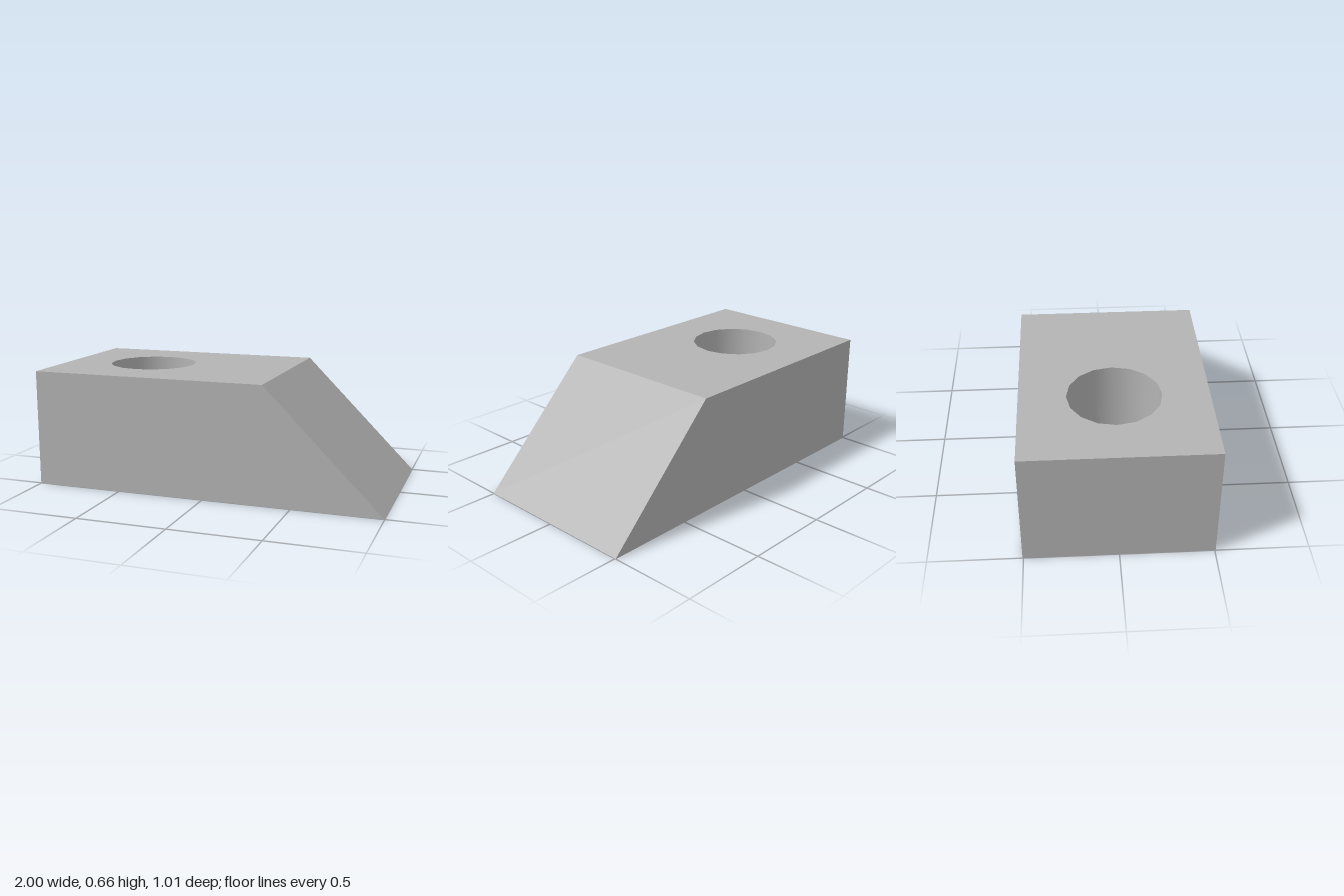
import * as THREE from 'three';
import { mergeGeometries } from 'three/addons/utils/BufferGeometryUtils.js';

const HEIGHT = 0.66, DEPTH = 1.01, TOP_END = 0.34;
const HOLE_X = -0.495, HOLE_R = 0.253, SINK_R = 0.444, SINK_H = 0.26, SIDES = 16;

// Flat outline, with an optional polygonal hole
function panel(points, holeRadius) {
  const shape = new THREE.Shape(points.map(([x, y]) => new THREE.Vector2(x, y)));
  if (holeRadius) {
    const ring = [];
    for (let i = 0; i < SIDES; i++) {
      const a = (i / SIDES) * Math.PI * 2;
      ring.push(new THREE.Vector2(HOLE_X + holeRadius * Math.cos(a), holeRadius * Math.sin(a)));
    }
    shape.holes.push(new THREE.Path(ring));
  }
  return new THREE.ShapeGeometry(shape);
}

const rectangle = (x0, x1) => [[x0, -DEPTH / 2], [x1, -DEPTH / 2], [x1, DEPTH / 2], [x0, DEPTH / 2]];

export function createModel() {
  const group = new THREE.Group();
  const grey = new THREE.MeshStandardMaterial({ color: 0xb4b4b4 });
  grey.name = 'grey';
  const add = (name, geometry) => {
    const mesh = new THREE.Mesh(geometry, grey);
    mesh.name = name;
    group.add(mesh);
    return mesh;
  };

  // Wedge-ended block: two profiles, top, underside, square end and sloped end
  const run = 1 - TOP_END;
  const front = panel([[-1, 0], [1, 0], [TOP_END, HEIGHT], [-1, HEIGHT]]).translate(0, 0, DEPTH / 2);
  const back = panel([[-1, 0], [1, 0], [1, HEIGHT], [-TOP_END, HEIGHT]])
    .rotateY(Math.PI).translate(0, 0, -DEPTH / 2);
  const top = panel(rectangle(-1, TOP_END), HOLE_R).rotateX(-Math.PI / 2).translate(0, HEIGHT, 0);
  const underside = panel(rectangle(-1, 1), SINK_R).rotateX(Math.PI / 2);
  const squareEnd = new THREE.PlaneGeometry(DEPTH, HEIGHT)
    .rotateY(-Math.PI / 2).translate(-1, HEIGHT / 2, 0);
  const slope = new THREE.PlaneGeometry(DEPTH, Math.hypot(run, HEIGHT))
    .rotateY(Math.PI / 2).rotateZ(Math.atan2(run, HEIGHT))
    .translate((1 + TOP_END) / 2, HEIGHT / 2, 0);
  add('block', mergeGeometries([front, back, top, underside, squareEnd, slope]));

  // Inward-facing walls of the straight bore and the countersink below it
  const wall = (r1, y1, r0, y0) =>
    new THREE.LatheGeometry([new THREE.Vector2(r1, y1), new THREE.Vector2(r0, y0)], SIDES);
  add('bore', wall(HOLE_R, HEIGHT, HOLE_R, SINK_H)).position.x = HOLE_X;
  add('countersink', wall(HOLE_R, SINK_H, SINK_R, 0)).position.x = HOLE_X;

  return group;
}
